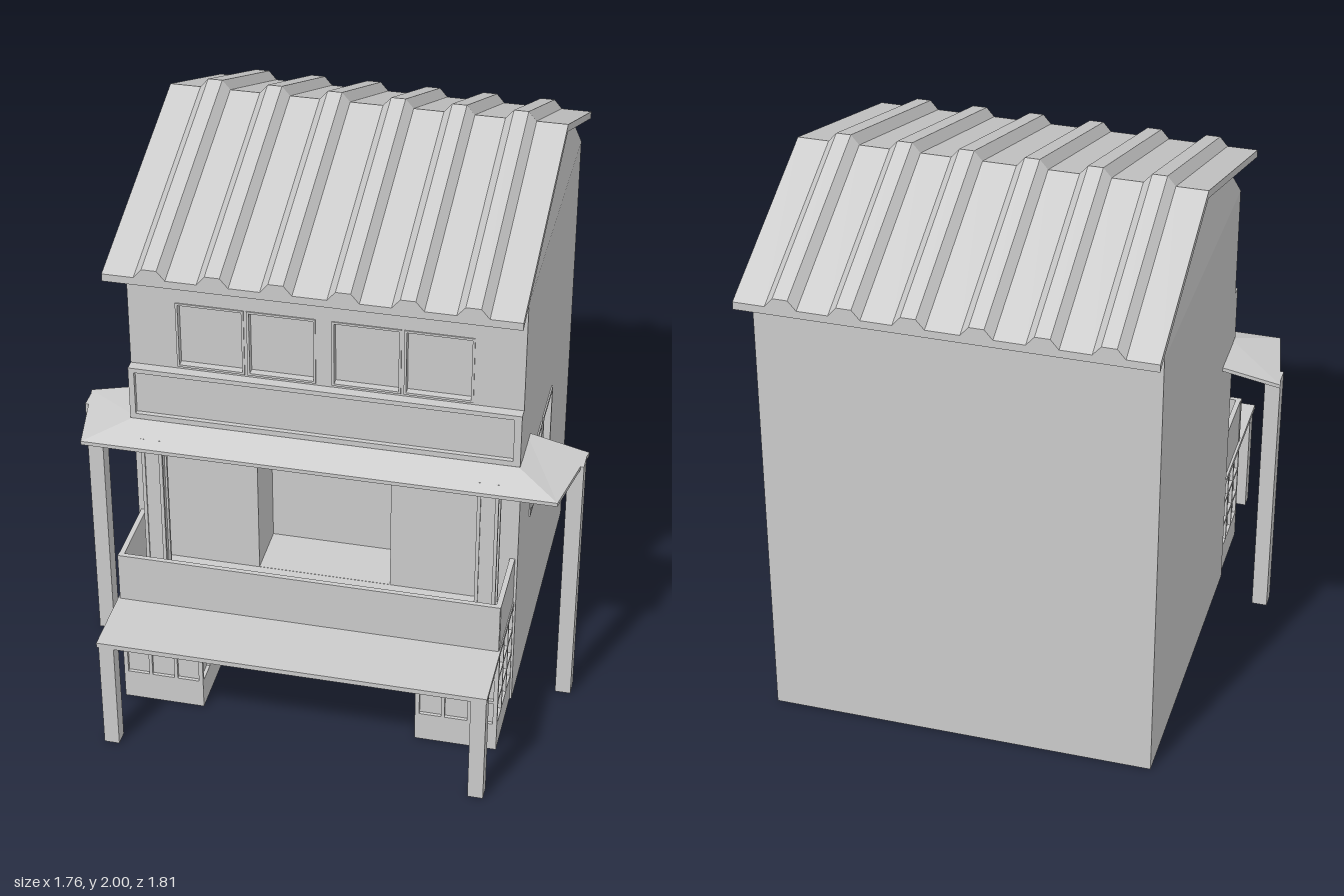
import * as THREE from 'three';
import { ConvexGeometry } from 'three/addons/geometries/ConvexGeometry.js';

const mat = new THREE.MeshStandardMaterial({ color: 0xcccccc, flatShading: true });
const thin = new THREE.MeshStandardMaterial({ color: 0xcccccc, flatShading: true, side: THREE.DoubleSide });

export function createModel() {
  const root = new THREE.Group();

  const add = (name, geo, m = mat) => {
    const mesh = new THREE.Mesh(geo, m);
    mesh.name = name;
    root.add(mesh);
    return mesh;
  };
  // Box given by its limits on each axis
  const box = (name, x0, x1, y0, y1, z0, z1) => {
    const mesh = add(name, new THREE.BoxGeometry(x1 - x0, y1 - y0, z1 - z0));
    mesh.position.set((x0 + x1) / 2, (y0 + y1) / 2, (z0 + z1) / 2);
    return mesh;
  };
  const rect = (C, x0, x1, y0, y1) =>
    new C([[x0, y0], [x1, y0], [x1, y1], [x0, y1]].map(p => new THREE.Vector2(...p)));
  // Flat panel with rectangular openings
  const panel = (outer, holes, depth) => {
    const s = rect(THREE.Shape, ...outer);
    s.holes = holes.map(h => rect(THREE.Path, ...h));
    return new THREE.ExtrudeGeometry(s, { depth, bevelEnabled: false });
  };
  const grow = ([a, b, c, d], t) => [a - t, b + t, c - t, d + t];

  // House body: core, front wall and right wall with openings
  box('houseCore', -0.675, 0.64, 0, 1.64, -0.775, 0.175);
  const frontSashes = [[-0.51, -0.275, 1.24, 1.49], [-0.265, -0.03, 1.24, 1.49],
    [0.025, 0.26, 1.24, 1.49], [0.27, 0.505, 1.24, 1.49]];
  add('frontWall', panel([-0.675, 0.675, 0, 1.64],
    [[-0.24, 0.23, 0.436, 0.92], ...frontSashes], 0.2)).position.z = 0.175;
  for (const s of frontSashes) {
    box('frontWindowPane', s[0], s[1], s[2], s[3], 0.3, 0.352);
    add('frontWindowFrame', panel(s, [grow(s, -0.008)], 0.03)).position.z = 0.349;
  }
  // Right wall is drawn as (-z, y) and turned to face +x
  const sideSashes = [[-0.14, 0.068, 0.635, 0.9], [0.09, 0.3, 0.635, 0.9]];
  const sideWall = add('rightWall', panel([-0.175, 0.775, 0, 1.64], sideSashes, 0.035));
  sideWall.rotation.y = Math.PI / 2;
  sideWall.position.x = 0.64;
  for (const s of sideSashes) {
    const f = add('sideWindowFrame', panel(s, [grow(s, -0.014)], 0.03));
    f.rotation.y = Math.PI / 2;
    f.position.x = 0.65;
  }

  // Gable block under the roof, leaning slightly inwards
  const gable = [];
  for (const [y, z] of [[1.64, 0.375], [1.76, 0.28], [1.93, -0.265], [1.75, -0.7], [1.64, -0.775]]) {
    const x = 0.675 - (y - 1.64) * 0.2;
    gable.push(new THREE.Vector3(x, y, z), new THREE.Vector3(-x, y, z));
  }
  add('gable', new ConvexGeometry(gable));

  // Ribbed roof: one profile swept down each slope
  const ribs = [-0.53, -0.32, -0.11, 0.11, 0.32, 0.53];
  const profile = new THREE.Shape();
  profile.moveTo(-0.69, 0);
  profile.lineTo(0.69, 0);
  profile.lineTo(0.69, 0.027);
  for (const c of [...ribs].reverse()) {
    for (const [dx, y] of [[0.053, 0.027], [0.025, 0.06], [-0.025, 0.06], [-0.053, 0.027]])
      profile.lineTo(c + dx, y);
  }
  profile.lineTo(-0.69, 0.027);
  const slope = (name, z0, y0, z1, y1) => {
    const geo = new THREE.ExtrudeGeometry(profile, { depth: 1, bevelEnabled: false });
    const p = geo.attributes.position;
    for (let i = 0; i < p.count; i++) {
      const t = p.getZ(i);
      p.setY(i, p.getY(i) + y0 + (y1 - y0) * t);
      p.setZ(i, z0 + (z1 - z0) * t);
    }
    geo.computeVertexNormals();
    add(name, geo);
  };
  slope('frontRoof', -0.265, 1.94, 0.58, 1.67);
  slope('backRoof', -0.9, 1.67, -0.265, 1.94);

  // Brackets carrying the front eave
  for (const x of [-0.54, -0.005, 0.53]) {
    const tri = new THREE.Shape([[-0.375, 1.64], [-0.28, 1.765], [-0.47, 1.71]]
      .map(p => new THREE.Vector2(...p)));
    const b = add('eaveBracket', new THREE.ExtrudeGeometry(tri, { depth: 0.04, bevelEnabled: false }));
    b.rotation.y = Math.PI / 2;
    b.position.x = x - 0.02;
  }

  // Upper front band with a recessed field
  box('upperBand', -0.675, 0.675, 1.03, 1.232, 0.37, 0.395);
  add('upperBandFrame', panel([-0.675, 0.675, 1.03, 1.232],
    [[-0.655, 0.65, 1.05, 1.215]], 0.02)).position.z = 0.392;

  // Awning: sloping sheet around three sides, with thickness
  const outer = [[-0.88, 0.985, 0.21], [-0.82, 0.985, 0.525], [0.82, 0.985, 0.525], [0.88, 0.985, 0.21]];
  const inner = [[-0.66, 1.03, 0.2], [-0.66, 1.03, 0.4], [0.66, 1.03, 0.4], [0.66, 1.03, 0.2]];
  const drop = ([x, y, z]) => [x, y - 0.014, z];
  const pos = [];
  const quad = (a, b, c, d) => pos.push(...a, ...b, ...c, ...a, ...c, ...d);
  for (let i = 0; i < 3; i++) {
    const [a, b, c, d] = [outer[i], outer[i + 1], inner[i + 1], inner[i]];
    quad(a, b, c, d);
    quad(drop(d), drop(c), drop(b), drop(a));
    quad(drop(a), drop(b), b, a);
  }
  quad(drop(inner[0]), drop(outer[0]), outer[0], inner[0]);
  quad(drop(outer[3]), drop(inner[3]), inner[3], outer[3]);
  const awning = new THREE.BufferGeometry();
  awning.setAttribute('position', new THREE.Float32BufferAttribute(pos, 3));
  awning.computeVertexNormals();
  add('awning', awning, thin);

  // Porch slab and open balcony parapet
  box('porchSlab', -0.675, 0.67, 0.417, 0.435, 0.37, 0.91);
  box('parapetFront', -0.668, 0.664, 0.43, 0.62, 0.638, 0.655);
  for (const s of [-1, 1]) {
    const span = (name, x0, x1, ...r) => s > 0 ? box(name, x0, x1, ...r) : box(name, -x1, -x0, ...r);
    span('parapetSide', 0.648, 0.666, 0.43, 0.62, 0.37, 0.65);
    span('awningPost', 0.82, 0.875, 0, 0.985, 0.24, 0.3);
    span('porchPost', 0.615, 0.668, 0, 0.42, 0.857, 0.91);

    // Balcony columns: core with raised corner strips
    span('balconyColumn', 0.553, 0.612, 0.43, 1.0, 0.43, 0.48);
    for (const x of [0.546, 0.607]) for (const z of [0.424, 0.474])
      span('columnStrip', x, x + 0.012, 0.43, 1.0, z, z + 0.012);

    // Ground floor bay: solid base, set-back glass and glazing bars
    span('bayBase', 0.38, 0.668, 0, 0.1, 0.37, 0.655);
    span('bayGlass', 0.392, 0.656, 0.1, 0.42, 0.37, 0.643);
    for (let i = 0; i < 4; i++) {
      const x = 0.38 + i * 0.092, z = 0.37 + i * 0.091, y = 0.1 + i * 0.102;
      span('bayBarFront', x, x + 0.012, 0.1, 0.42, 0.64, 0.655);
      for (const sx of [0.38, 0.653])
        span('bayBarSide', sx, sx + 0.015, 0.1, 0.42, z, z + 0.012);
      span('bayRailFront', 0.38, 0.668, y, y + 0.012, 0.64, 0.655);
      for (const sx of [0.38, 0.653])
        span('bayRailSide', sx, sx + 0.015, y, y + 0.012, 0.37, 0.655);
    }
  }
  return root;
}
